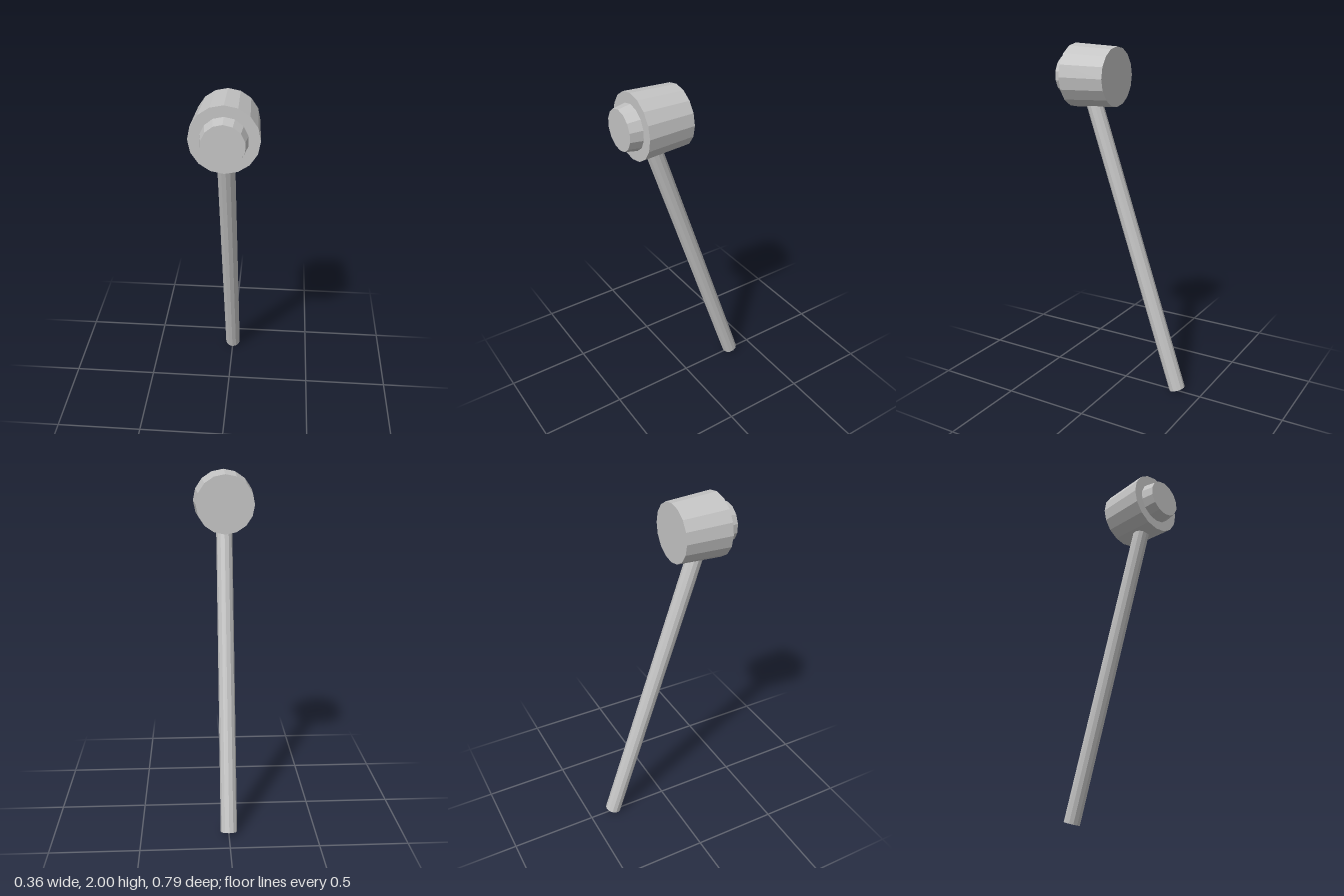
import * as THREE from 'three';

export function createModel() {
  const model = new THREE.Group();
  const grey = new THREE.MeshStandardMaterial({ color: 0xc4c4c4 });
  const HEAD_Y = 1.822;

  const add = (name, geometry) => {
    // separate facets for a crisp low-poly look
    const flat = geometry.toNonIndexed();
    flat.computeVertexNormals();
    const mesh = new THREE.Mesh(flat, grey);
    mesh.name = name;
    model.add(mesh);
    return mesh;
  };

  // tapered drum lying along z, from back to front
  const drum = (name, rBack, rFront, zBack, zFront, sides) => {
    const g = new THREE.CylinderGeometry(rFront, rBack, zFront - zBack, sides);
    g.rotateX(Math.PI / 2);
    add(name, g).position.set(0, HEAD_Y, (zBack + zFront) / 2);
  };

  // head and the smaller striking face at its front
  drum('head', 0.165, 0.179, 0.057, 0.326, 16);
  drum('strikingFace', 0.122, 0.11, 0.326, 0.396, 14);

  // slanted handle, its top end buried in the head
  const radius = 0.047;
  const tilt = 0.325;
  const length = 1.78;
  const g = new THREE.CylinderGeometry(radius, radius, length, 12);
  g.translate(0, length / 2, 0);
  const handle = add('handle', g);
  handle.rotation.x = tilt;
  handle.position.set(0, radius * Math.sin(tilt), -0.396 + radius * Math.cos(tilt));

  return model;
}
